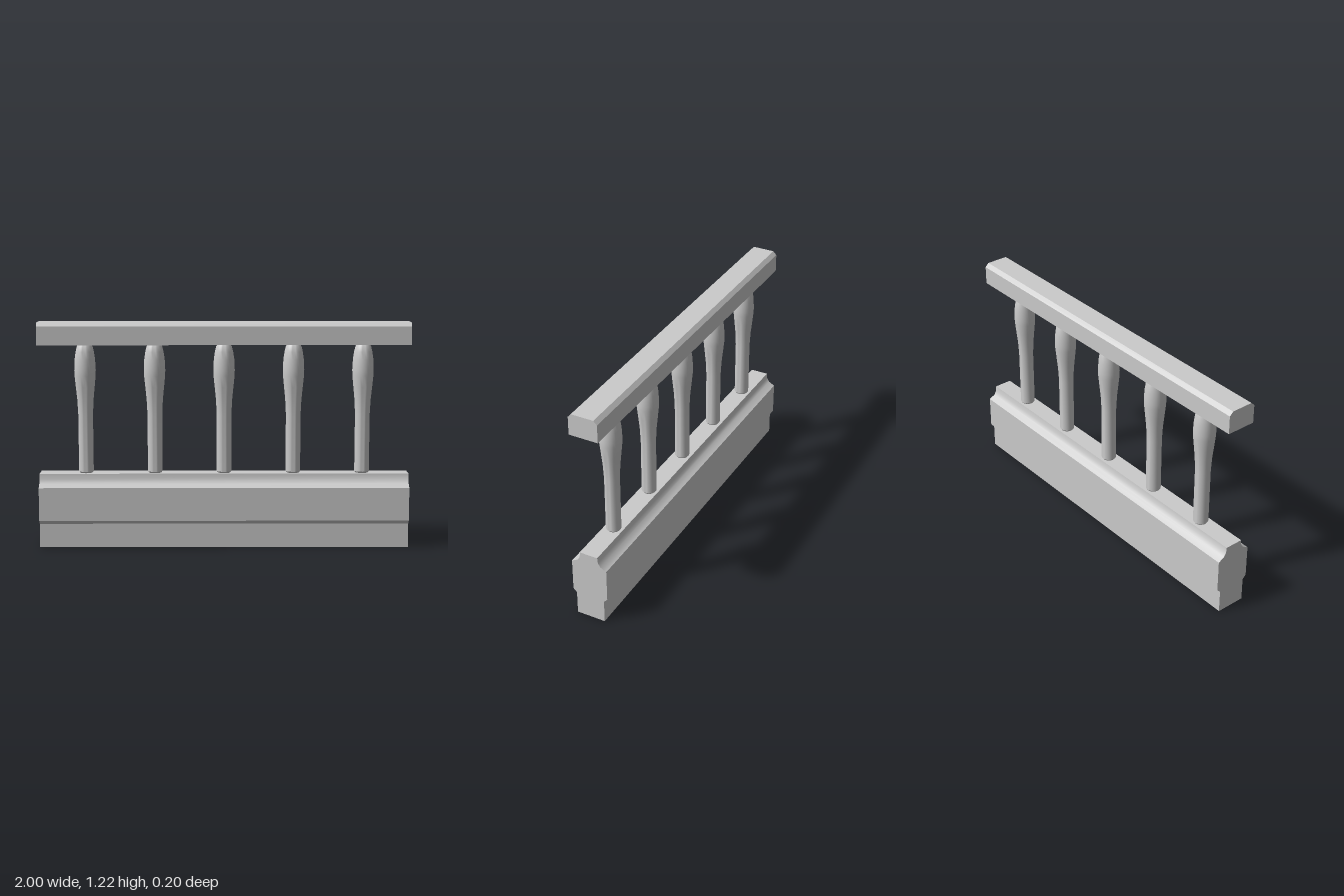
import * as THREE from 'three';
import { toCreasedNormals } from 'three/addons/utils/BufferGeometryUtils.js';

const LENGTH = 2;
const material = new THREE.MeshStandardMaterial({ color: 0xcccccc });

// Runs a symmetric moulding, given as its [half depth, height] side, along x.
function moulding(name, side) {
  const mirrored = side.map(([d, y]) => [-d, y]).reverse();
  const shape = new THREE.Shape([...side, ...mirrored].map(([d, y]) => new THREE.Vector2(d, y)));
  const geometry = new THREE.ExtrudeGeometry(shape, { depth: LENGTH, bevelEnabled: false });
  geometry.translate(0, 0, -LENGTH / 2).rotateY(Math.PI / 2);
  const mesh = new THREE.Mesh(toCreasedNormals(geometry, 0.61), material);
  mesh.name = name;
  return mesh;
}

export function createModel() {
  const group = new THREE.Group();
  group.name = 'balustrade';

  // Plinth with a chamfered overhang and a cove up to the narrow top
  group.add(moulding('base', [
    [0.08, 0], [0.08, 0.13], [0.1, 0.15], [0.1, 0.33],
    [0.066, 0.348], [0.053, 0.37], [0.05, 0.4],
  ]));

  // Handrail with chamfered top edges
  group.add(moulding('handrail', [[0.08, 1.1], [0.08, 1.2], [0.06, 1.22]]));

  // Turned balusters, swelling towards the top
  const profile = [
    [0, 0.4], [0.034, 0.4], [0.04, 0.408], [0.04, 0.56], [0.04, 0.72], [0.044, 0.8],
    [0.051, 0.87], [0.057, 0.93], [0.058, 0.96], [0.055, 1.02], [0.049, 1.06],
    [0.042, 1.088], [0.034, 1.1], [0, 1.1],
  ].map(([r, y]) => new THREE.Vector2(r, y));
  const turned = toCreasedNormals(new THREE.LatheGeometry(profile, 32), 0.61);
  for (let i = -2; i <= 2; i++) {
    const baluster = new THREE.Mesh(turned, material);
    baluster.name = `baluster${i + 3}`;
    baluster.position.x = i * 0.375;
    group.add(baluster);
  }
  return group;
}
